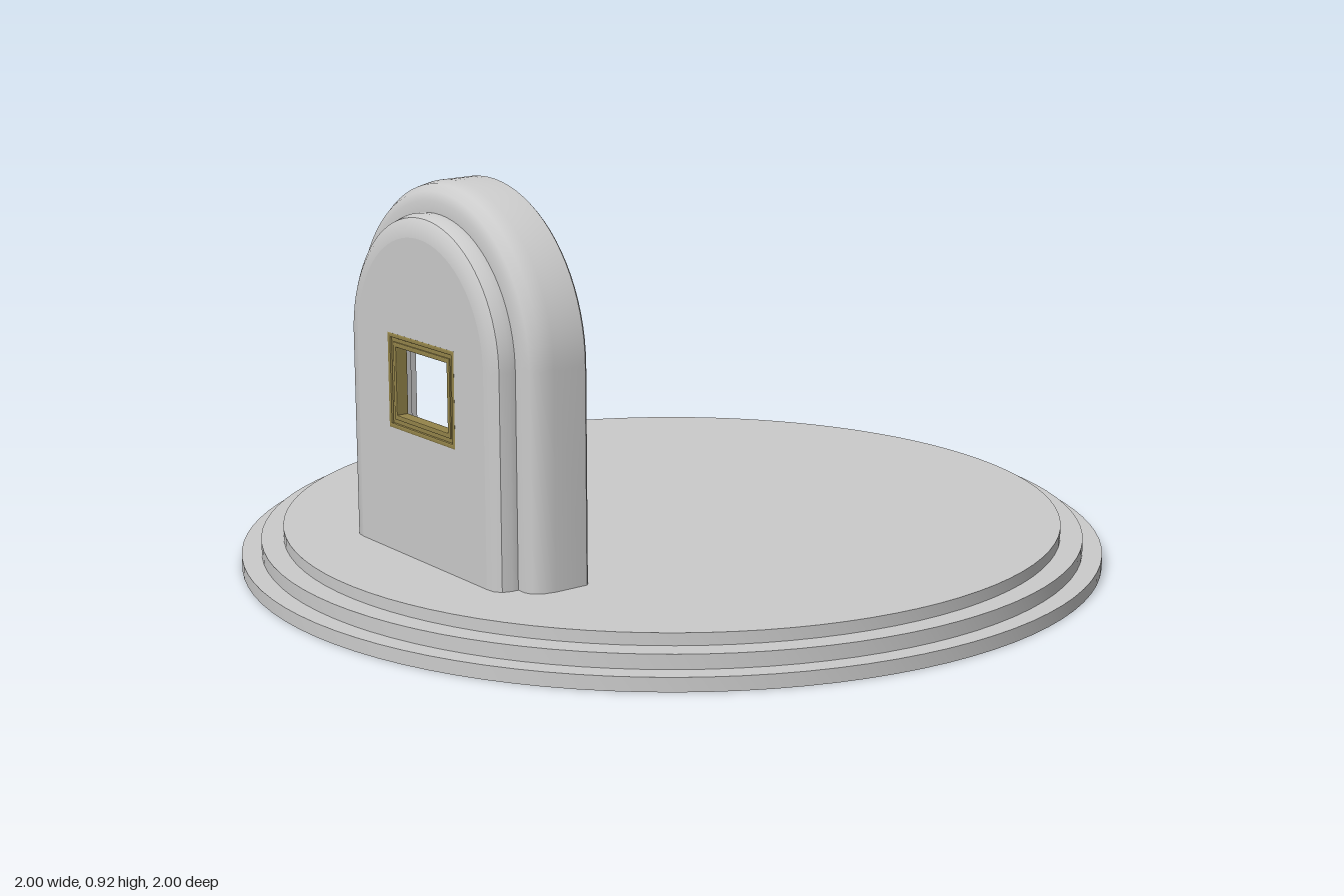
import * as THREE from 'three';
import { toCreasedNormals } from 'three/addons/utils/BufferGeometryUtils.js';

const grey = new THREE.MeshStandardMaterial({ color: 0xcccccc, side: THREE.DoubleSide });
const gold = new THREE.MeshStandardMaterial({ color: 0x94844a });
const FLOOR = 0.083;
const V2 = (x, y) => new THREE.Vector2(x, y);

function add(parent, name, geometry, material) {
  const mesh = new THREE.Mesh(geometry, material);
  mesh.name = name;
  parent.add(mesh);
  return mesh;
}

// Round-topped outline of half-width r: up one leg, over, down the other
function archOutline(r, arcs = 40) {
  const cy = 0.53 + 0.1 * r;
  const pts = [V2(r, FLOOR)];
  for (let i = 0; i <= arcs; i++) {
    const a = (Math.PI * i) / arcs;
    pts.push(V2(r * Math.cos(a), cy + r * Math.sin(a)));
  }
  pts.push(V2(-r, FLOOR));
  return pts;
}

// Sweep a [half-width, x] profile around the arch outline
function sweepArch(profile) {
  const pos = [], index = [];
  const rows = profile.map(([r, x]) => archOutline(r).map(p => [x, p.y, p.x]));
  const n = rows[0].length;
  rows.forEach(row => row.forEach(p => pos.push(...p)));
  for (let i = 0; i < rows.length - 1; i++) {
    for (let j = 0; j < n - 1; j++) {
      const a = i * n + j, b = a + n;
      index.push(a, b, a + 1, b, b + 1, a + 1);
    }
  }
  const g = new THREE.BufferGeometry();
  g.setAttribute('position', new THREE.Float32BufferAttribute(pos, 3));
  g.setIndex(index);
  return toCreasedNormals(g, 0.6);
}

function rectPath(Type, w, h) {
  return new Type([V2(-w, -h), V2(w, -h), V2(w, h), V2(-w, h)]);
}

// Extruded rectangular rail between outer and inner half sizes, facing +x
function rail(w, h, t, x0, x1, bevel) {
  const shape = rectPath(THREE.Shape, w - bevel, h - bevel);
  shape.holes.push(rectPath(THREE.Path, w - t + bevel, h - t + bevel));
  const g = new THREE.ExtrudeGeometry(shape, {
    depth: x1 - x0 - 2 * bevel, bevelEnabled: true,
    bevelSize: bevel, bevelThickness: bevel, bevelSegments: 2,
  });
  return g.translate(0, 0, x0 + bevel).rotateY(Math.PI / 2);
}

export function createModel() {
  const model = new THREE.Group();
  model.name = 'archAlcoveOnPlinth';

  // Hollow three-step round base
  const steps = [V2(1, 0), V2(1, 0.031), V2(0.955, 0.031), V2(0.955, 0.063),
    V2(0.904, 0.063), V2(0.904, 0.09), V2(0, 0.09)];
  add(model, 'steppedBase', toCreasedNormals(new THREE.LatheGeometry(steps, 96), 0.6), grey);

  // Arch: rounded double back, flat face, three receding steps inside
  add(model, 'archSurround', sweepArch([
    [0.25, -0.69], [0.273, -0.687], [0.288, -0.676], [0.295, -0.655], [0.295, -0.64],
    [0.318, -0.64], [0.336, -0.633], [0.349, -0.615], [0.355, -0.585], [0.356, -0.506],
    [0.351, -0.5], [0.315, -0.5], [0.315, -0.54], [0.272, -0.54],
    [0.272, -0.595], [0.236, -0.595], [0.236, -0.675],
  ]), grey);

  // Back wall with the window opening
  const midZ = 0.0075, midY = 0.477, w = 0.132, h = 0.107;
  const wall = new THREE.Shape(archOutline(0.25));
  const opening = [[-1, -1], [1, -1], [1, 1], [-1, 1]]
    .map(([u, v]) => V2(-midZ + u * (w - 0.003), midY + v * (h - 0.003)));
  wall.holes.push(new THREE.Path(opening));
  const wallGeo = new THREE.ExtrudeGeometry(wall, { depth: 0.016, bevelEnabled: false });
  add(model, 'backWall', wallGeo.translate(0, 0, -0.69).rotateY(Math.PI / 2), grey);

  // Carved frame: raised outer and inner rails, with beads in the channel
  const frame = new THREE.Group();
  frame.name = 'windowFrame';
  frame.position.set(0, midY, midZ);
  model.add(frame);
  add(frame, 'outerRail', rail(w, h, 0.011, -0.691, -0.655, 0.003), gold);
  add(frame, 'channel', rail(w - 0.008, h - 0.008, 0.018, -0.686, -0.665, 0.001), gold);
  add(frame, 'innerRail', rail(w - 0.02, h - 0.02, 0.011, -0.689, -0.66, 0.002), gold);

  const bw = w - 0.0155, bh = h - 0.0155;
  const spots = [];
  const nx = 18, ny = 14;
  for (let i = 0; i < nx; i++) {
    const z = -bw + (2 * bw * i) / nx;
    spots.push([z, bh], [-z, -bh]);
  }
  for (let i = 0; i < ny; i++) {
    const y = -bh + (2 * bh * i) / ny;
    spots.push([-bw, y], [bw, -y]);
  }
  const beads = new THREE.Group();
  beads.name = 'frameBeads';
  frame.add(beads);
  const beadGeo = new THREE.SphereGeometry(0.006, 8, 6);
  for (const [z, y] of spots) {
    add(beads, 'bead', beadGeo, gold).position.set(-0.664, y, z);
  }
  return model;
}
